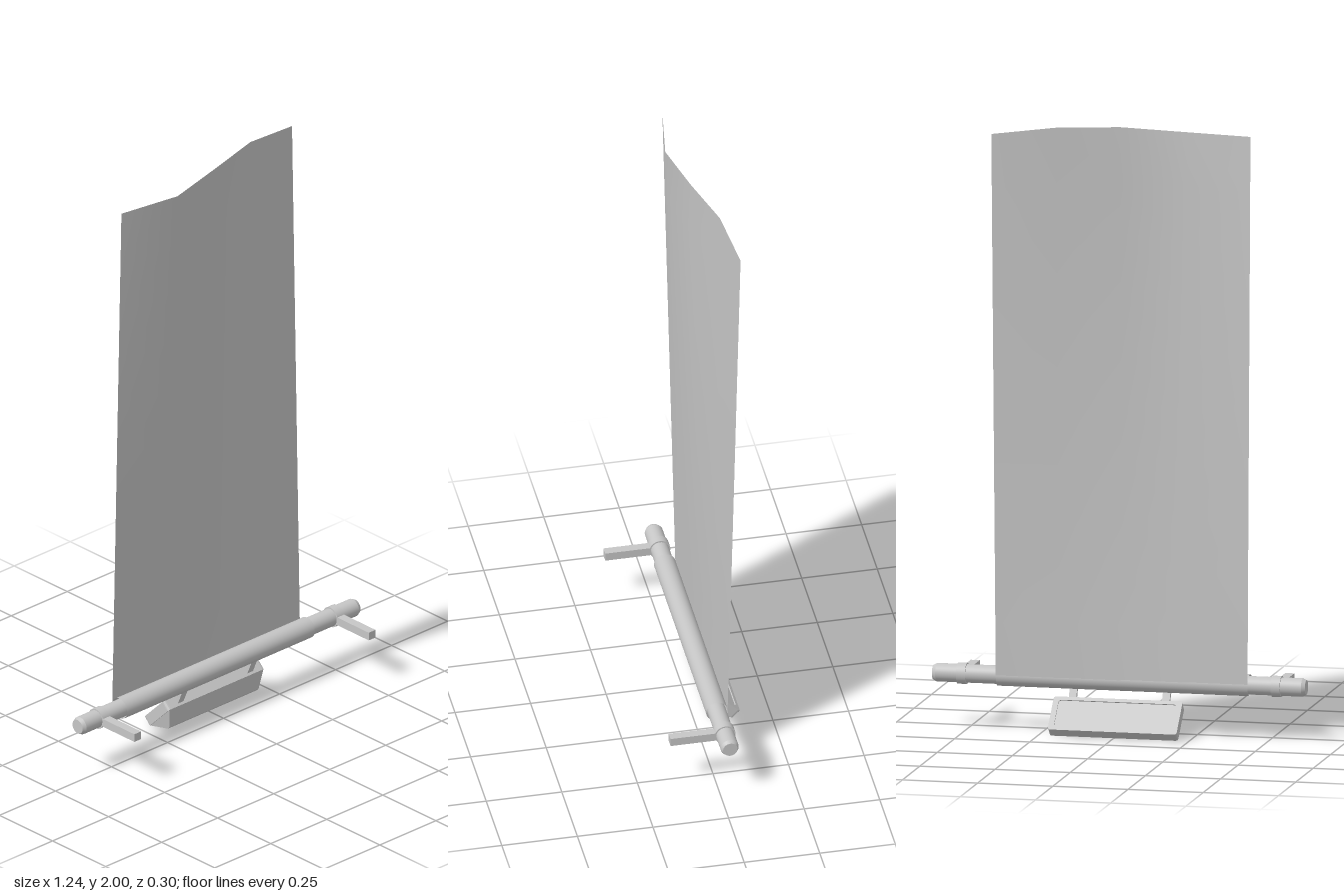
import * as THREE from 'three';

const metal = new THREE.MeshStandardMaterial({ color: 0xc6c6c6 });
metal.name = 'grey metal';
const fabric = new THREE.MeshStandardMaterial({ color: 0xc4c4c4, side: THREE.DoubleSide });
fabric.name = 'grey fabric';

const ROD_Y = 0.18, ROD_Z = -0.033;

function add(parent, name, geometry, material, x = 0, y = 0, z = 0) {
  const mesh = new THREE.Mesh(geometry, material);
  mesh.name = name;
  mesh.position.set(x, y, z);
  parent.add(mesh);
  return mesh;
}

// Rounded rectangle outline centred on the origin
function roundedRect(Type, w, h, r) {
  const s = new Type(), x = w / 2, y = h / 2;
  s.moveTo(-x + r, -y);
  s.lineTo(x - r, -y).quadraticCurveTo(x, -y, x, -y + r);
  s.lineTo(x, y - r).quadraticCurveTo(x, y, x - r, y);
  s.lineTo(-x + r, y).quadraticCurveTo(-x, y, -x, y - r);
  s.lineTo(-x, -y + r).quadraticCurveTo(-x, -y, -x + r, -y);
  return s;
}

// Cylinder lying along x
function barX(radius, length, open = false) {
  return new THREE.CylinderGeometry(radius, radius, length, 32, 1, open).rotateZ(Math.PI / 2);
}

// Sheet rising from the back of the rod to a waving top edge
function sheetGeometry() {
  const top = [
    [-0.432, 1.985, -0.025], [-0.215, 1.985, 0.01], [0, 2, -0.03],
    [0.2, 2, -0.085], [0.41, 1.975, -0.11],
  ];
  const geo = new THREE.PlaneGeometry(1, 1, 4, 10);
  const p = geo.attributes.position;
  for (let i = 0; i < p.count; i++) {
    const u = p.getX(i) + 0.5, v = p.getY(i) + 0.5;
    const [x, y, z] = top[Math.round(u * 4)];
    const x0 = -0.432 + u * 0.837;
    p.setXYZ(i, x0 + (x - x0) * v, ROD_Y + (y - ROD_Y) * v, -0.068 + (z + 0.068) * v);
  }
  geo.computeVertexNormals();
  return geo;
}

// Lamp, with its local +z along the beam
function makeLamp() {
  const lamp = new THREE.Group();
  lamp.name = 'lamp';

  const rim = roundedRect(THREE.Shape, 0.428, 0.131, 0.01);
  rim.holes.push(roundedRect(THREE.Path, 0.392, 0.105, 0.012));
  add(lamp, 'lampRim', new THREE.ExtrudeGeometry(rim, { depth: 0.035, bevelEnabled: false, curveSegments: 4 }),
    metal, 0, 0, -0.035);
  add(lamp, 'lampLens', new THREE.ExtrudeGeometry(roundedRect(THREE.Shape, 0.394, 0.107, 0.012),
    { depth: 0.008, bevelEnabled: false, curveSegments: 4 }), metal, 0, 0, -0.012);

  // Housing tapering to a narrow ridge behind the rim
  const body = new THREE.BoxGeometry(2, 2, 1);
  const p = body.attributes.position;
  for (let i = 0; i < p.count; i++) {
    const front = p.getZ(i) > 0;
    p.setXYZ(i, p.getX(i) * (front ? 0.21 : 0.198), p.getY(i) * (front ? 0.064 : 0.006), front ? -0.034 : -0.077);
  }
  body.computeVertexNormals();
  add(lamp, 'lampHousing', body, metal);

  lamp.position.set(0, 0.075, -0.103);
  lamp.rotation.x = -Math.PI * 0.75;
  return lamp;
}

export function createModel() {
  const model = new THREE.Group();
  model.name = 'banner';

  // Rod with chamfered ends
  const profile = [[0, -0.62], [0.024, -0.62], [0.03, -0.608], [0.03, 0.608], [0.024, 0.62], [0, 0.62]];
  // Repeated points keep the chamfer edges sharp
  const sharp = profile.flatMap(([r, y]) => [new THREE.Vector2(r, y), new THREE.Vector2(r, y + Math.sign(y) * -1e-5)]);
  const rodGeo = new THREE.LatheGeometry(
    [...sharp.slice(0, 6), ...sharp.slice(6)].sort((a, b) => a.y - b.y || (a.y < 0 ? a.x - b.x : b.x - a.x))
      .filter((v) => v.x > 0), 32).rotateZ(Math.PI / 2);
  add(model, 'rod', rodGeo, metal, 0, ROD_Y, ROD_Z);

  // End caps, wall brackets, collars and lamp arms on both sides
  for (const s of [-1, 1]) {
    const cap = new THREE.CircleGeometry(0.0241, 32).rotateY(s * Math.PI / 2);
    add(model, 'rodEnd', cap, metal, s * 0.62, ROD_Y, ROD_Z);
    add(model, 'collar', barX(0.0345, 0.03), metal, s * 0.523, ROD_Y, ROD_Z);
    add(model, 'bracket', new THREE.BoxGeometry(0.03, 0.028, 0.178), metal, s * 0.523, 0.177, 0.059);
    const arm = add(model, 'lampArm', new THREE.BoxGeometry(0.025, 0.075, 0.012), metal, s * 0.155, 0.13, -0.033);
    arm.rotation.x = 0.4;
  }

  // Fabric rolled around the rod and the sheet rising from it
  add(model, 'fabricRoll', barX(0.0355, 0.837, true), fabric, -0.0135, ROD_Y, ROD_Z);
  add(model, 'sheet', sheetGeometry(), fabric);

  model.add(makeLamp());
  return model;
}
